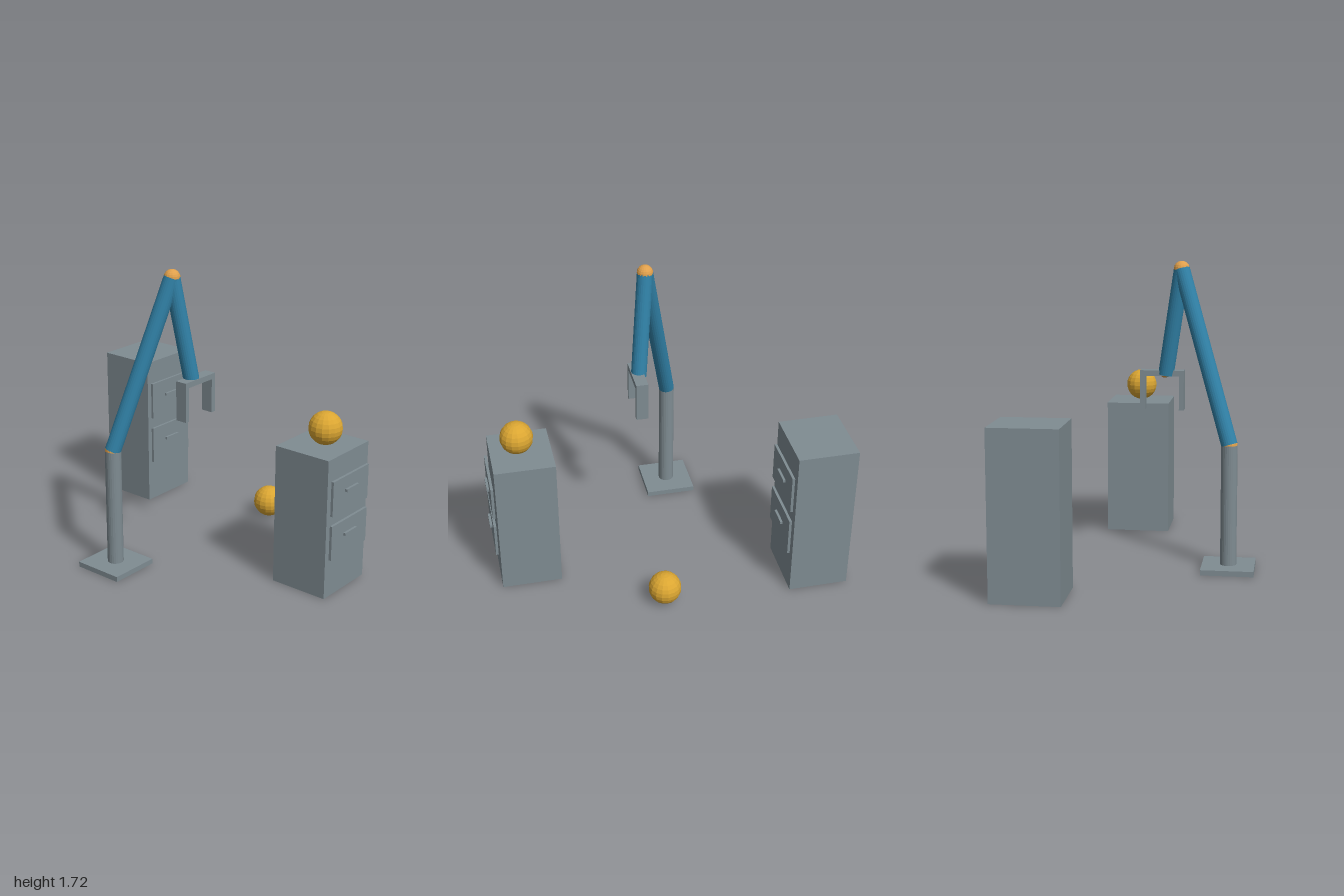
import * as THREE from 'three';

const make = (name, color, flat = true) => {
  const m = new THREE.MeshStandardMaterial({ color, flatShading: flat });
  m.name = name;
  return m;
};

export function createModel() {
  const steel = make('steel grey', 0x7f8c92);
  const blue = make('arm blue', 0x3182a8);
  const orange = make('joint orange', 0xe0a04c);
  const gold = make('ball gold', 0xdba632);
  const model = new THREE.Group();
  model.name = 'robotWorkcell';

  const add = (parent, name, geometry, material, x = 0, y = 0, z = 0) => {
    const mesh = new THREE.Mesh(geometry, material);
    mesh.name = name;
    mesh.position.set(x, y, z);
    parent.add(mesh);
    return mesh;
  };
  // Box from its minimum and maximum on each axis
  const box = (parent, name, [x0, x1], [y0, y1], [z0, z1]) =>
    add(parent, name, new THREE.BoxGeometry(x1 - x0, y1 - y0, z1 - z0), steel,
      (x0 + x1) / 2, (y0 + y1) / 2, (z0 + z1) / 2);
  const ball = (parent, name, r, material, p) =>
    add(parent, name, new THREE.SphereGeometry(r, 16, 12), material, p.x, p.y, p.z);
  // Round bar between two points
  const bar = (parent, name, a, b, r, material) => {
    const dir = b.clone().sub(a);
    const mesh = add(parent, name, new THREE.CylinderGeometry(r, r, dir.length(), 24), material);
    mesh.position.copy(a).add(b).multiplyScalar(0.5);
    mesh.quaternion.setFromUnitVectors(new THREE.Vector3(0, 1, 0), dir.normalize());
  };
  const group = (name) => {
    const g = new THREE.Group();
    g.name = name;
    model.add(g);
    return g;
  };

  // Robot arm: base, column, two links and their joints
  const arm = group('robotArm');
  const foot = new THREE.Vector3(-0.534, 0.03, -0.19);
  const shoulder = new THREE.Vector3(-0.534, 0.712, -0.19);
  const elbow = new THREE.Vector3(-0.244, 1.676, 0.003);
  const wrist = new THREE.Vector3(-0.15, 1.07, 0.062);
  box(arm, 'base', [-0.683, -0.386], [0, 0.03], [-0.338, -0.041]);
  bar(arm, 'column', foot, shoulder, 0.046, steel);
  bar(arm, 'upperArm', shoulder, elbow, 0.046, blue);
  bar(arm, 'forearm', elbow, wrist, 0.045, blue);
  ball(arm, 'shoulderJoint', 0.046, orange, shoulder);
  ball(arm, 'elbowJoint', 0.046, orange, elbow);
  ball(arm, 'wristJoint', 0.035, orange, new THREE.Vector3(-0.145, 1.086, 0.064));

  // Gripper: crossbar and two fingers
  const gripper = group('gripper');
  const gripZ = [0.037, 0.107];
  box(gripper, 'crossbar', [-0.255, -0.002], [1.063, 1.095], gripZ);
  box(gripper, 'rightFinger', [-0.255, -0.227], [0.865, 1.064], gripZ);
  box(gripper, 'leftFinger', [-0.03, -0.002], [0.865, 1.064], gripZ);

  // Cabinets: body, then two drawers each with a handle
  const cabinet = (name, cx, height, back, drawers) => {
    const g = group(name);
    const front = back + 0.345;
    box(g, 'body', [cx - 0.191, cx + 0.191], [0, height], [back, front]);
    for (const [y0, y1] of drawers) {
      const cy = (y0 + y1) / 2 + 0.019;
      box(g, 'drawer', [cx - 0.169, cx + 0.169], [y0, y1], [front + 0.008, front + 0.023]);
      box(g, 'handle', [cx - 0.057, cx + 0.057], [cy - 0.008, cy + 0.008], [front + 0.021, front + 0.037]);
    }
  };
  cabinet('lowCabinet', 0.086, 0.814, 0.618, [[0.49, 0.692], [0.231, 0.433]]);
  cabinet('tallCabinet', 0.462, 0.922, -1, [[0.556, 0.785], [0.26, 0.488]]);

  // Loose balls, one on the low cabinet and one on the floor
  ball(model, 'cabinetBall', 0.094, gold, new THREE.Vector3(0.086, 0.909, 0.808));
  ball(model, 'floorBall', 0.094, gold, new THREE.Vector3(0.584, 0.096, 0.07));

  return model;
}
